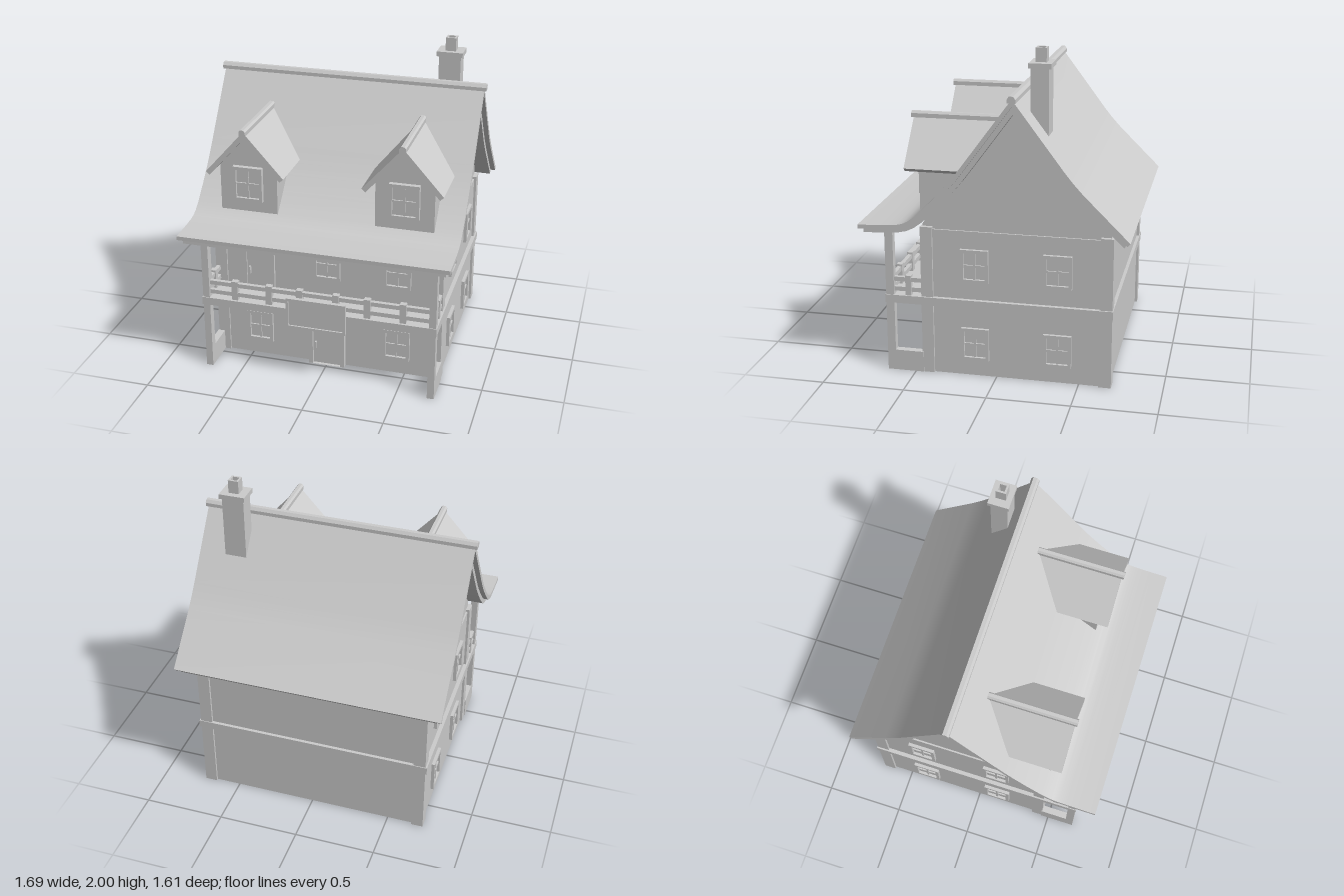
import * as THREE from 'three';
import { toCreasedNormals } from 'three/addons/utils/BufferGeometryUtils.js';

const material = new THREE.MeshStandardMaterial({ color: 0xcccccc });

function add(parent, name, geometry) {
  const mesh = new THREE.Mesh(geometry, material);
  mesh.name = name;
  parent.add(mesh);
  return mesh;
}

// Box given by its lower and upper limits on each axis
function box(parent, name, x0, x1, y0, y1, z0, z1) {
  const g = new THREE.BoxGeometry(x1 - x0, y1 - y0, z1 - z0);
  g.translate((x0 + x1) / 2, (y0 + y1) / 2, (z0 + z1) / 2);
  return add(parent, name, g);
}

function extrude(points, depth, holes = []) {
  const shape = new THREE.Shape(points.map(([x, y]) => new THREE.Vector2(x, y)));
  shape.holes = holes;
  return new THREE.ExtrudeGeometry(shape, { depth, bevelEnabled: false });
}

// Extrude a (z, y) outline across the width of the house
function across(points, width) {
  const g = extrude(points, width);
  g.translate(0, 0, -width / 2).rotateY(-Math.PI / 2);
  return toCreasedNormals(g, 0.4);
}

// Roof outline as (z, y), from the front eave over the ridge to the back eave
const roofLine = [
  [0.805, 0.953], [0.7, 0.956], [0.62, 0.961], [0.57, 0.966], [0.535, 0.974], [0.5, 0.991],
  [0.455, 1.025], [0.36, 1.118], [0.28, 1.205], [0.23, 1.265], [0.17, 1.345], [-0.12, 1.74],
  [-0.42, 1.34], [-0.47, 1.278], [-0.53, 1.212], [-0.8, 0.945]];

// Push the roof line inward by d, with mitred corners
function inset(d) {
  const normal = (a, b) => {
    const dz = b[0] - a[0], dy = b[1] - a[1], l = Math.hypot(dz, dy);
    return [-dy / l, dz / l];
  };
  return roofLine.map((p, i) => {
    const n = normal(roofLine[Math.max(i - 1, 0)], roofLine[Math.max(i, 1)]);
    const last = roofLine.length - 1;
    const m = normal(roofLine[Math.min(i, last - 1)], roofLine[Math.min(i + 1, last)]);
    const k = d / (1 + n[0] * m[0] + n[1] * m[1]);
    return [p[0] + (n[0] + m[0]) * k, p[1] + (n[1] + m[1]) * k];
  });
}

function roofLayer(outer, inner, width) {
  return across([...outer, ...inner.slice().reverse()], width);
}

// Framed window with crossed glazing bars, facing +z
function makeWindow(w = 0.17, h = 0.205) {
  const g = new THREE.Group();
  g.name = 'window';
  const x = w / 2, y = h / 2, t = 0.02;
  for (const s of [-1, 1]) {
    const a = s * (x - t / 2), b = s * (y - t / 2);
    box(g, 'windowJamb', a - t / 2, a + t / 2, -y, y, -0.01, 0.02);
    box(g, 'windowRail', -x + t, x - t, b - t / 2, b + t / 2, -0.01, 0.02);
  }
  box(g, 'windowPane', -x + t, x - t, -y + t, y - t, -0.01, 0.003);
  box(g, 'mullion', -0.006, 0.006, -y + t, y - t, 0, 0.012);
  box(g, 'transom', -x + t, x - t, -0.006, 0.006, 0, 0.012);
  return g;
}

function placeWindow(parent, x, y, z, turn = 0, w, h) {
  const win = makeWindow(w, h);
  win.position.set(x, y, z);
  win.rotation.y = turn;
  parent.add(win);
}

function makeDormer(x) {
  const g = new THREE.Group();
  g.name = 'dormer';
  g.position.x = x;
  const wall = extrude([[-0.18, 0.95], [0.18, 0.95], [0.18, 1.305], [0, 1.51], [-0.18, 1.305]], 0.37);
  add(g, 'dormerWall', wall.translate(0, 0, 0.1));
  // Roof whose back edge is cut to follow the slope of the main roof
  const roof = extrude([[0, 1.555], [-0.245, 1.28], [-0.222, 1.259], [0, 1.508], [0.222, 1.259], [0.245, 1.28]], 1);
  const p = roof.attributes.position;
  for (let i = 0; i < p.count; i++) {
    p.setZ(i, p.getZ(i) > 0.5 ? 0.545 : -0.135 + (1.74 - p.getY(i)) / 1.36);
  }
  roof.computeVertexNormals();
  add(g, 'dormerRoof', roof);
  const cap = extrude([[-0.02, 1.535], [0.02, 1.535], [0.02, 1.56], [0.01, 1.572], [-0.01, 1.572], [-0.02, 1.56]], 0.545);
  add(g, 'dormerRidge', cap.translate(0, 0, 0.015));
  placeWindow(g, 0, 1.2, 0.48, 0, 0.185, 0.22);
  return g;
}

// Arched outline standing on y = 0
function arch(half, top, Type = THREE.Shape) {
  const s = new Type();
  s.moveTo(-half, 0);
  s.lineTo(half, 0);
  s.lineTo(half, top - half);
  s.absarc(0, top - half, half, 0, Math.PI, false);
  s.lineTo(-half, 0);
  return s;
}

export function createModel() {
  const house = new THREE.Group();
  house.name = 'house';

  // Walls, corner posts and the floor beam that carries on as the balcony
  box(house, 'walls', -0.715, 0.715, 0, 0.915, -0.68, 0.445);
  box(house, 'floorBeam', -0.74, 0.74, 0.44, 0.49, -0.7, 0.68);
  for (const s of [-1, 1]) {
    const span = (a, b) => [Math.min(s * a, s * b), Math.max(s * a, s * b)];
    box(house, 'frontCornerPost', ...span(0.655, 0.73), 0, 0.93, 0.385, 0.457);
    box(house, 'backCornerPost', ...span(0.655, 0.73), 0, 0.93, -0.695, -0.62);
    box(house, 'porchPost', ...span(0.692, 0.735), 0, 0.925, 0.625, 0.675);
    box(house, 'porchLowWall', ...span(0.692, 0.735), 0, 0.13, 0.45, 0.63);
    // Side railing
    box(house, 'sideTopRail', ...span(0.7, 0.725), 0.575, 0.602, 0.45, 0.63);
    box(house, 'sideLowRail', ...span(0.7, 0.725), 0.513, 0.54, 0.45, 0.63);
    box(house, 'sideBaluster', ...span(0.695, 0.73), 0.48, 0.615, 0.52, 0.555);
    // Side windows
    for (const z of [0.13, -0.37])
      for (const y of [0.205, 0.703])
        placeWindow(house, s * 0.715, y, z, s * Math.PI / 2);
  }

  // Front railing
  box(house, 'frontTopRail', -0.7, 0.7, 0.575, 0.602, 0.635, 0.66);
  box(house, 'frontLowRail', -0.7, 0.7, 0.513, 0.54, 0.635, 0.66);
  for (const x of [-0.53, -0.31, -0.115, 0.115, 0.31, 0.53])
    box(house, 'baluster', x - 0.02, x + 0.02, 0.48, 0.615, 0.63, 0.665);

  // Front windows
  for (const x of [-0.445, 0.445]) placeWindow(house, x, 0.205, 0.445);
  for (const x of [0, 0.445]) placeWindow(house, x, 0.703, 0.445);

  // Arched front door
  const frame = arch(0.115, 0.365);
  frame.holes.push(arch(0.09, 0.34, THREE.Path));
  const options = { depth: 0.04, bevelEnabled: false, curveSegments: 16 };
  add(house, 'doorFrame', toCreasedNormals(new THREE.ExtrudeGeometry(frame, options), 0.5)).position.z = 0.44;
  const door = new THREE.ExtrudeGeometry(arch(0.09, 0.34), { ...options, depth: 0.02 });
  add(house, 'frontDoor', toCreasedNormals(door, 0.5)).position.z = 0.44;
  box(house, 'doorHandle', -0.078, -0.068, 0.105, 0.155, 0.455, 0.475);

  // Balcony door
  box(house, 'balconyDoor', -0.52, -0.37, 0.49, 0.805, 0.44, 0.455);
  box(house, 'balconyDoorJamb', -0.555, -0.52, 0.49, 0.835, 0.44, 0.465);
  box(house, 'balconyDoorJamb', -0.37, -0.34, 0.49, 0.835, 0.44, 0.465);
  box(house, 'balconyDoorHead', -0.52, -0.37, 0.805, 0.835, 0.44, 0.465);
  box(house, 'balconyDoorHandle', -0.505, -0.495, 0.58, 0.63, 0.45, 0.475);

  // Blank hanging board
  box(house, 'signBoard', -0.175, 0.17, 0.385, 0.555, 0.675, 0.69);
  for (const y of [0.37, 0.555]) box(house, 'signEdge', -0.19, 0.185, y, y + 0.016, 0.675, 0.7);
  for (const x of [-0.19, 0.17]) box(house, 'signEdge', x, x + 0.015, 0.385, 0.556, 0.675, 0.7);

  // Roof in two layers, with the gable filling beneath
  const middle = inset(0.025), under = inset(0.055);
  add(house, 'roof', roofLayer(roofLine, middle, 1.66));
  const trim = (line) => line.map(([z, y]) => [THREE.MathUtils.clamp(z, -0.775, 0.78), y]);
  add(house, 'roofUnderlayer', roofLayer(trim(middle), trim(under), 1.6));
  const gable = under.filter(([z]) => z < 0.44 && z > -0.67);
  add(house, 'gable', across([[0.445, 0.91], [0.445, 0.945], ...gable, [-0.68, 0.98], [-0.68, 0.91]], 1.41));
  const ridge = [[-0.145, 1.72], [-0.095, 1.72], [-0.095, 1.742], [-0.108, 1.76], [-0.132, 1.76], [-0.145, 1.742]];
  add(house, 'ridgeCap', across(ridge, 1.69));
  for (const x of [-0.485, 0.485]) house.add(makeDormer(x));

  // Chimney with a stepped cap and a hollow pot
  box(house, 'chimney', 0.53, 0.665, 1.25, 1.9, -0.3, -0.195);
  box(house, 'chimneyCap', 0.517, 0.678, 1.888, 1.918, -0.315, -0.183);
  const hole = new THREE.Path([[-0.02, -0.02], [0.02, -0.02], [0.02, 0.02], [-0.02, 0.02]].map((p) => new THREE.Vector2(...p)));
  const pot = extrude([[-0.032, -0.032], [0.032, -0.032], [0.032, 0.032], [-0.032, 0.032]], 0.085, [hole]);
  add(house, 'chimneyPot', pot.rotateX(-Math.PI / 2)).position.set(0.597, 1.915, -0.247);

  return house;
}
